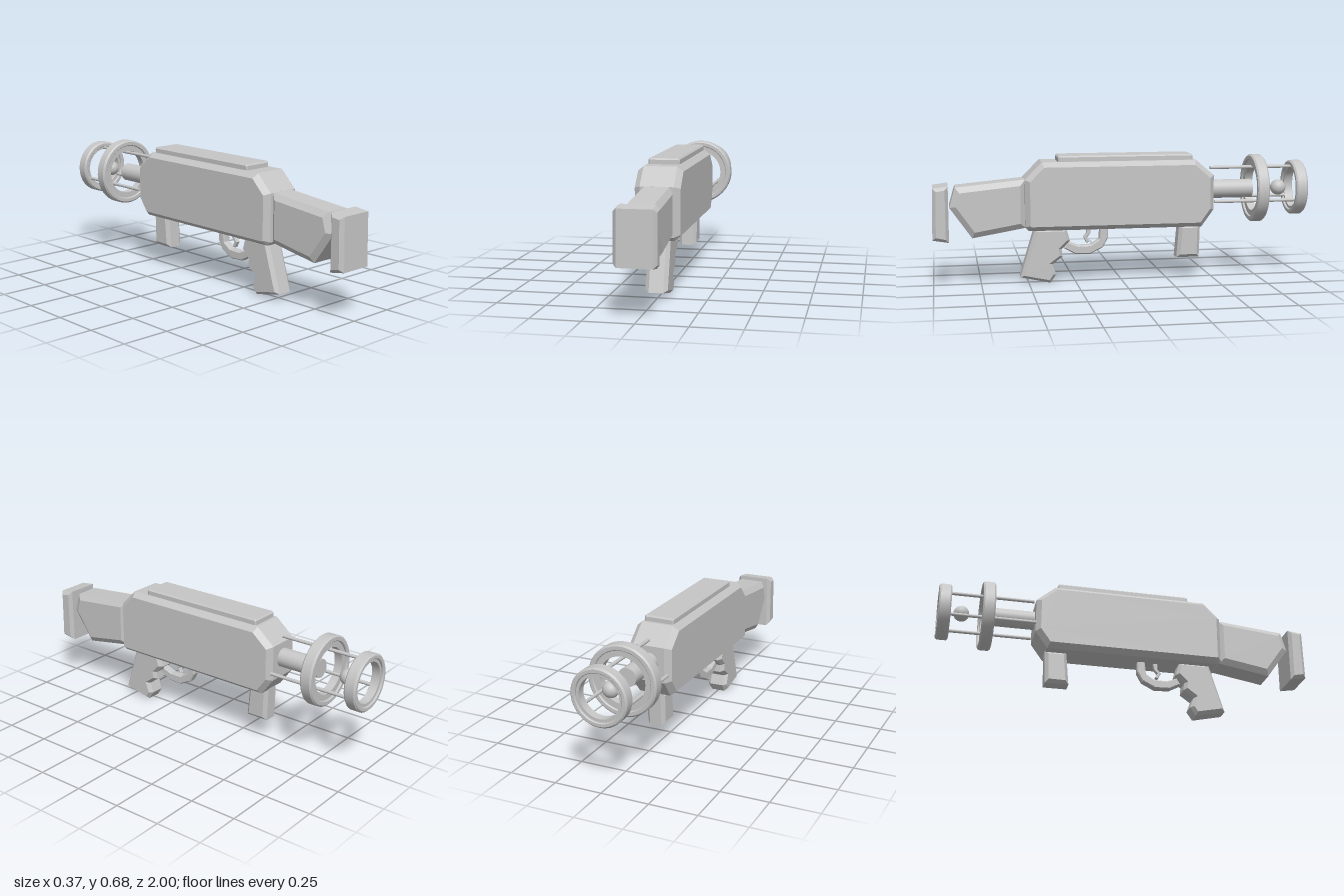
import * as THREE from 'three';
import { toCreasedNormals } from 'three/addons/utils/BufferGeometryUtils.js';

const AXIS_Y = 0.482;

export function createModel() {
  const group = new THREE.Group();
  const grey = new THREE.MeshStandardMaterial({ color: 0xc6c6c6 });
  grey.name = 'grey';

  const add = (name, geometry) => {
    const mesh = new THREE.Mesh(geometry, grey);
    mesh.name = name;
    group.add(mesh);
    return mesh;
  };

  // Side profile of [z, y] points, given a width in x and chamfered side edges
  const slab = (name, points, halfWidth, inset, chamfer = inset) => {
    const shape = new THREE.Shape(points.map(([z, y]) => new THREE.Vector2(z, y)));
    const depth = 2 * (halfWidth - chamfer);
    const geometry = new THREE.ExtrudeGeometry(shape, {
      depth, bevelEnabled: true, bevelSegments: 1,
      bevelSize: inset, bevelOffset: -inset, bevelThickness: chamfer,
    });
    geometry.translate(0, 0, -depth / 2).rotateY(-Math.PI / 2);
    return add(name, geometry);
  };

  // Body, top plate and stock
  slab('body', [[0.5, 0.29], [0.52, 0.31], [0.52, 0.56], [0.43, 0.65],
    [-0.39, 0.65], [-0.49, 0.565], [-0.49, 0.38], [-0.425, 0.29]], 0.115, 0.025, 0.03);
  slab('topPlate', [[0.345, 0.64], [0.345, 0.672], [0.338, 0.68],
    [-0.368, 0.68], [-0.375, 0.672], [-0.375, 0.64]], 0.08, 0.007);
  slab('stock', [[0.515, 0.305], [0.795, 0.257], [0.91, 0.42], [0.88, 0.525], [0.515, 0.56]],
    0.085, 0.03, 0.022);
  slab('buttPad', [[0.915, 0.24], [1, 0.255], [0.995, 0.525], [0.915, 0.535]], 0.103, 0.018);

  // Handles
  slab('grip', [[0.465, 0.295], [0.545, 0.035], [0.385, 0], [0.355, 0.045], [0.375, 0.1],
    [0.32, 0.14], [0.325, 0.18], [0.28, 0.225], [0.3, 0.295]], 0.057, 0.016, 0.02);
  slab('foreGrip', [[-0.315, 0.295], [-0.3, 0.115], [-0.425, 0.115], [-0.43, 0.295]], 0.05, 0.018);

  // Trigger and its guard
  slab('triggerGuard', [[0.31, 0.18], [0.25, 0.148], [0.17, 0.145], [0.1, 0.18], [0.073, 0.23],
    [0.073, 0.295], [0.115, 0.295], [0.12, 0.225], [0.165, 0.195], [0.235, 0.193], [0.29, 0.215]],
  0.022, 0.006);
  slab('trigger', [[0.16, 0.295], [0.168, 0.255], [0.185, 0.235], [0.172, 0.21], [0.188, 0.205],
    [0.205, 0.238], [0.187, 0.26], [0.187, 0.295]], 0.012, 0.003);

  // Rods and barrel run along z
  const rod = (name, radius, x, y, zBack, zFar, sides) => {
    const geometry = new THREE.CylinderGeometry(radius, radius, zBack - zFar, sides);
    geometry.rotateX(Math.PI / 2);
    add(name, geometry).position.set(x, y, (zBack + zFar) / 2);
  };
  rod('barrel', 0.049, 0, AXIS_Y, -0.47, -0.72, 32);
  for (let i = 0; i < 3; i++) {
    const a = Math.PI / 2 + (i * Math.PI * 2) / 3;
    rod('strut' + (i + 1), 0.009, 0.115 * Math.cos(a), AXIS_Y + 0.115 * Math.sin(a), -0.49, -0.975, 12);
  }

  // Stepped rings: a thick chamfered outer band with a thinner inner band
  const ring = (name, outer, step, inner, z) => {
    const h = 0.0325, t = 0.022, c = 0.008;
    const profile = [
      [inner, -t], [step, -t], [step, -h + c / 2], [step + c / 2, -h], [outer - c, -h], [outer, -h + c],
      [outer, h - c], [outer - c, h], [step + c / 2, h], [step, h - c / 2], [step, t], [inner, t], [inner, -t],
    ].map(([r, y]) => new THREE.Vector2(r, y));
    const geometry = toCreasedNormals(new THREE.LatheGeometry(profile, 48), 0.5);
    geometry.rotateX(Math.PI / 2);
    add(name, geometry).position.set(0, AXIS_Y, z);
  };
  ring('largeRing', 0.183, 0.153, 0.122, -0.743);
  ring('muzzleRing', 0.148, 0.121, 0.106, -0.9675);

  // Ball floating between the rings
  add('ball', new THREE.SphereGeometry(0.042, 24, 16)).position.set(0, AXIS_Y, -0.875);

  return group;
}
